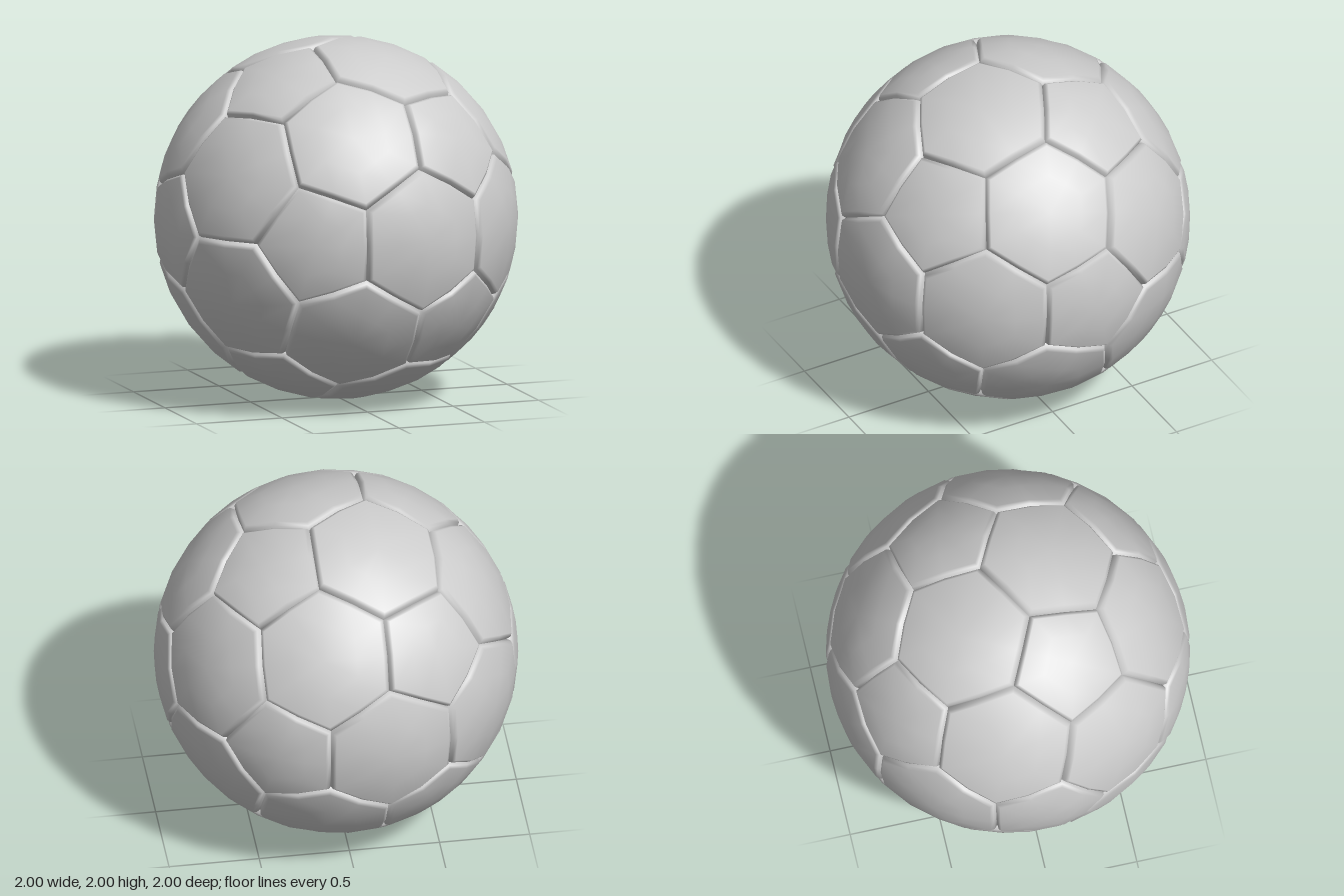
import * as THREE from 'three';

const SEAM_RADIUS = 0.965; // bottom of the groove between panels
const EDGE_STEPS = 2;      // segments along each panel edge
const RINGS = [[0.5, 1], [0.91, 1], [0.965, 0.99], [1, SEAM_RADIUS]]; // [share of the way to the seam, radius]

// Twelve icosahedron corners with poles on the x axis: the centres of the pentagons
function pentagonCentres() {
  const r = 2 / Math.sqrt(5), h = 1 / Math.sqrt(5);
  const points = [new THREE.Vector3(1, 0, 0), new THREE.Vector3(-1, 0, 0)];
  for (let i = 0; i < 5; i++) {
    const a = (i * 2 * Math.PI) / 5, b = a + Math.PI / 5;
    points.push(new THREE.Vector3(-h, r * Math.sin(a), r * Math.cos(a)));
    points.push(new THREE.Vector3(h, r * Math.sin(b), r * Math.cos(b)));
  }
  return points;
}

// Corner of the panels, one third of the way from a to b
const cornerBetween = (a, b) => a.clone().multiplyScalar(2).add(b).normalize();

// Sort corners counter-clockwise as seen from outside
function sortAround(centre, corners) {
  const u = corners[0].clone().projectOnPlane(centre).normalize();
  const v = centre.clone().cross(u);
  const angle = (p) => Math.atan2(p.dot(v), p.dot(u));
  return corners.slice().sort((p, q) => angle(p) - angle(q));
}

// Domed panel: a centre point, rings on the ball, then a bevel down into the seam
function panelGeometry(centre, corners) {
  const sorted = sortAround(centre, corners);
  const outline = [];
  sorted.forEach((p, i) => {
    const next = sorted[(i + 1) % sorted.length];
    for (let s = 0; s < EDGE_STEPS; s++) outline.push(p.clone().lerp(next, s / EDGE_STEPS).normalize());
  });
  const n = outline.length;
  const points = [centre.clone()];
  for (const [t, radius] of RINGS) {
    for (const p of outline) points.push(centre.clone().lerp(p, t).setLength(radius));
  }
  const index = [];
  for (let j = 0; j < n; j++) {
    const k = (j + 1) % n;
    index.push(0, 1 + j, 1 + k);
    for (let r = 0; r < RINGS.length - 1; r++) {
      const a = 1 + r * n, b = a + n;
      index.push(a + j, b + j, b + k, a + j, b + k, a + k);
    }
  }
  const geometry = new THREE.BufferGeometry().setFromPoints(points);
  geometry.setIndex(index);
  geometry.computeVertexNormals();
  return geometry;
}

export function createModel() {
  const model = new THREE.Group();
  model.name = 'ball';
  const material = new THREE.MeshStandardMaterial({ color: 0xcccccc });
  const centres = pentagonCentres();
  const adjacent = (a, b) => a !== b && a.dot(b) > 0.4;

  const shell = new THREE.Group();
  shell.name = 'panels';
  shell.position.y = 1;
  shell.rotation.x = -0.02;
  model.add(shell);

  const addPanel = (name, centre, corners) => {
    const mesh = new THREE.Mesh(panelGeometry(centre, corners), material);
    mesh.name = name;
    shell.add(mesh);
  };

  // Twelve pentagons
  for (const p of centres) {
    addPanel('pentagonPanel', p, centres.filter((q) => adjacent(p, q)).map((q) => cornerBetween(p, q)));
  }

  // Twenty hexagons, one between every three neighbouring pentagons
  centres.forEach((a, i) => centres.forEach((b, j) => centres.forEach((c, k) => {
    if (!(i < j && j < k && adjacent(a, b) && adjacent(b, c) && adjacent(a, c))) return;
    const centre = a.clone().add(b).add(c).normalize();
    const pairs = [[a, b], [b, a], [b, c], [c, b], [c, a], [a, c]];
    addPanel('hexagonPanel', centre, pairs.map(([p, q]) => cornerBetween(p, q)));
  })));

  return model;
}
